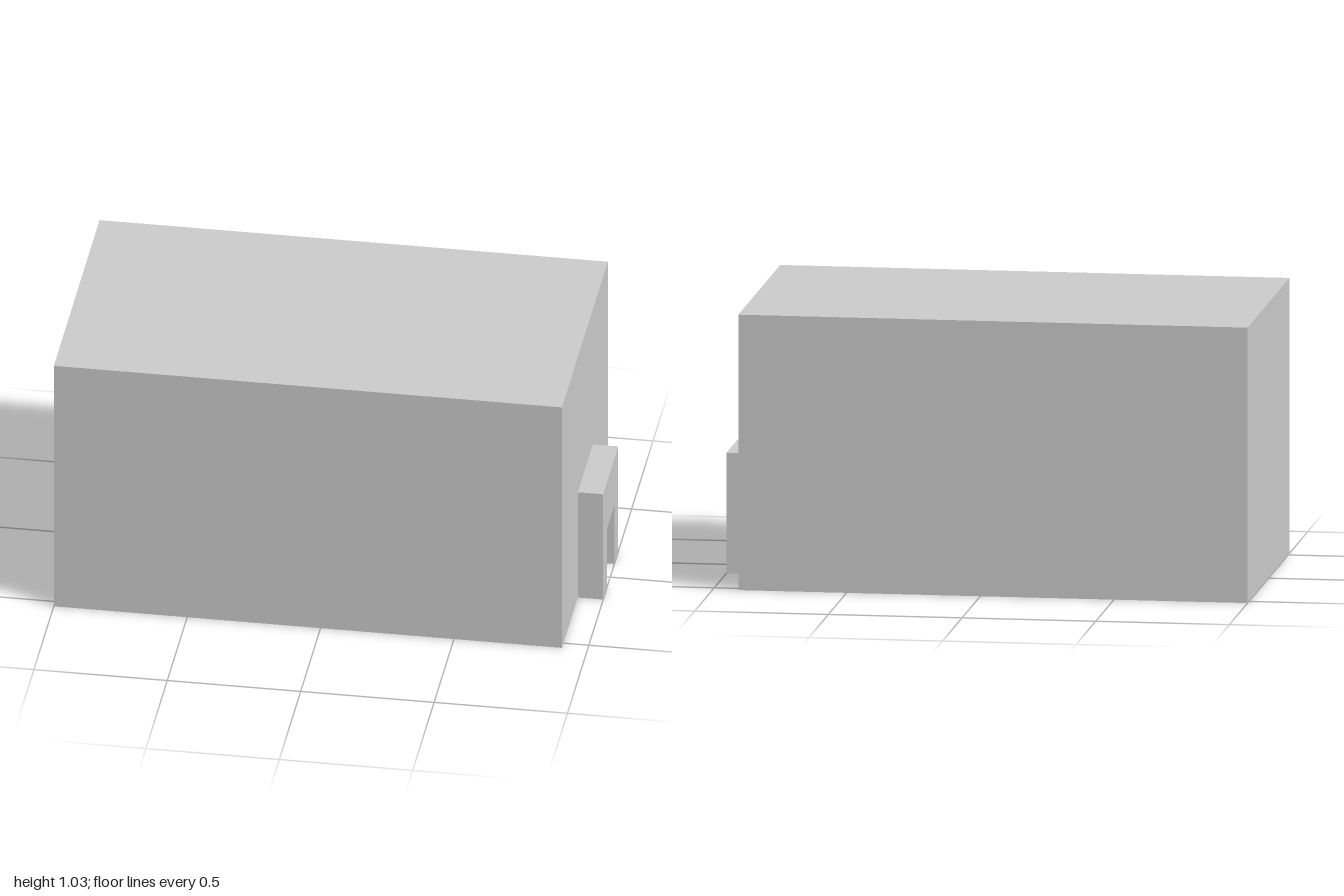
import * as THREE from 'three';

const material = new THREE.MeshStandardMaterial({ color: 0xcccccc, flatShading: true, side: THREE.DoubleSide });

// Main hall extents, wall thickness and doorway
const X0 = -1, X1 = 0.905, H = 1.035, D = 0.535, T = 0.02;
const FLOOR = 0.04;
const DOOR = { back: -0.097, front: 0.078, top: 0.253 };

export function createModel() {
  const model = new THREE.Group();

  const add = (name, geometry) => {
    const mesh = new THREE.Mesh(geometry, material);
    mesh.name = name;
    model.add(mesh);
    return mesh;
  };

  // Box given by its lower and upper corners
  const box = (name, [ax, ay, az], [bx, by, bz]) =>
    add(name, new THREE.BoxGeometry(bx - ax, by - ay, bz - az))
      .position.set((ax + bx) / 2, (ay + by) / 2, (az + bz) / 2);

  // Upright slab across the x axis with the doorway cut up from the ground
  const doorSlab = (name, back, front, height, x, depth) => {
    const outline = [
      [-front, 0], [-DOOR.front, 0], [-DOOR.front, DOOR.top], [-DOOR.back, DOOR.top],
      [-DOOR.back, 0], [-back, 0], [-back, height], [-front, height],
    ].map(([u, v]) => new THREE.Vector2(u, v));
    const geometry = new THREE.ExtrudeGeometry(new THREE.Shape(outline), { depth, bevelEnabled: false });
    geometry.rotateY(Math.PI / 2);
    add(name, geometry).position.x = x;
  };

  // Hollow hall: long walls, rear end wall, roof and raised floor
  for (const [name, s] of [['frontWall', 1], ['backWall', -1]]) {
    const z = s * (D - T / 2);
    box(name, [X0, 0, z - T / 2], [X1, H, z + T / 2]);
  }
  box('endWall', [X0, 0, -D + T], [X0 + T, H, D - T]);
  box('roof', [X0 + T, H - T, -D + T], [X1 - T, H, D - T]);
  box('floor', [X0 + T, 0, -D + T], [X1 - T, FLOOR, D - T]);

  // Entrance wall and the porch standing in front of it
  doorSlab('entranceWall', -D + T, D - T, H, X1 - T, T);
  doorSlab('porch', -0.187, 0.165, 0.453, X1, 1 - X1);

  // Sloping threshold inside the doorway
  const wedge = new THREE.Shape([[X1 - T, 0], [X1, 0], [X1 - T, FLOOR]].map(([x, y]) => new THREE.Vector2(x, y)));
  add('threshold', new THREE.ExtrudeGeometry(wedge, { depth: DOOR.front - DOOR.back, bevelEnabled: false }))
    .position.z = DOOR.back;

  return model;
}
